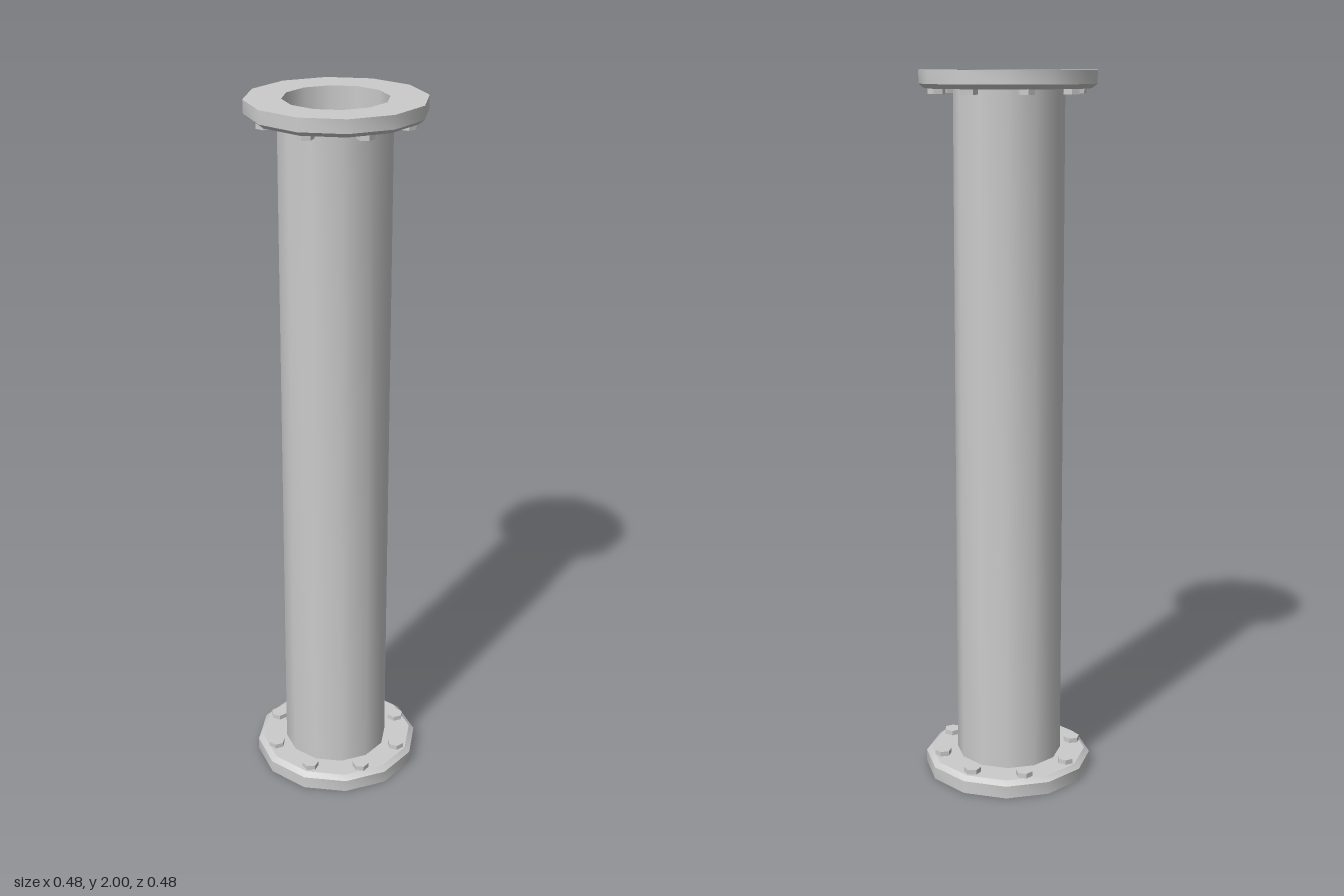
import * as THREE from 'three';
import { toCreasedNormals } from 'three/addons/utils/BufferGeometryUtils.js';

const SIDES = 12;
const BORE = 0.14, BORE_Z = 0.0035; // the bore sits slightly forward of the flange centre
const grey = new THREE.MeshStandardMaterial({ color: 0xcccccc });
const thin = new THREE.MeshStandardMaterial({ color: 0xcccccc, side: THREE.DoubleSide });

function lathe(points) {
  return new THREE.LatheGeometry(points.map(([r, y]) => new THREE.Vector2(r, y)), SIDES);
}

function addMesh(parent, name, geometry, material = grey) {
  const mesh = new THREE.Mesh(toCreasedNormals(geometry, 0.6), material);
  mesh.name = name;
  parent.add(mesh);
  return mesh;
}

// Chamfered ring with eight bolts; the outer face lies at y = 0
function makeFlange(name, flipped) {
  const flange = new THREE.Group();
  flange.name = name;
  const ring = lathe([[BORE, 0], [0.24, 0], [0.24, 0.036], [0.225, 0.048], [BORE, 0.048]]);
  const p = ring.attributes.position;
  for (let i = 0; i < p.count; i++) {
    if (Math.hypot(p.getX(i), p.getZ(i)) < 0.15) p.setZ(i, p.getZ(i) + (flipped ? -BORE_Z : BORE_Z));
  }
  addMesh(flange, 'flangeRing', ring);
  for (let i = 0; i < 8; i++) {
    const a = (i * Math.PI) / 4;
    const bolt = addMesh(flange, 'bolt', new THREE.CylinderGeometry(0.024, 0.024, 0.022, 6));
    bolt.position.set(0.195 * Math.sin(a), 0.051, 0.195 * Math.cos(a));
    bolt.rotation.y = a;
  }
  if (flipped) {
    flange.rotation.x = Math.PI;
    flange.position.y = 2;
  }
  return flange;
}

export function createModel() {
  const model = new THREE.Group();
  model.name = 'flangedPipe';

  // Pipe shell and the bore running through both flanges
  addMesh(model, 'pipeWall', lathe([[0.151, 0.04], [0.151, 1.96]])).position.z = 0.006;
  addMesh(model, 'bore', lathe([[BORE, 2], [BORE, 0]])).position.z = BORE_Z;

  // Partition that closes the bore halfway
  const partition = addMesh(model, 'partition', new THREE.CircleGeometry(BORE, SIDES), thin);
  partition.rotation.x = -Math.PI / 2;
  partition.position.set(0, 1, BORE_Z);

  model.add(makeFlange('bottomFlange', false), makeFlange('topFlange', true));
  return model;
}
